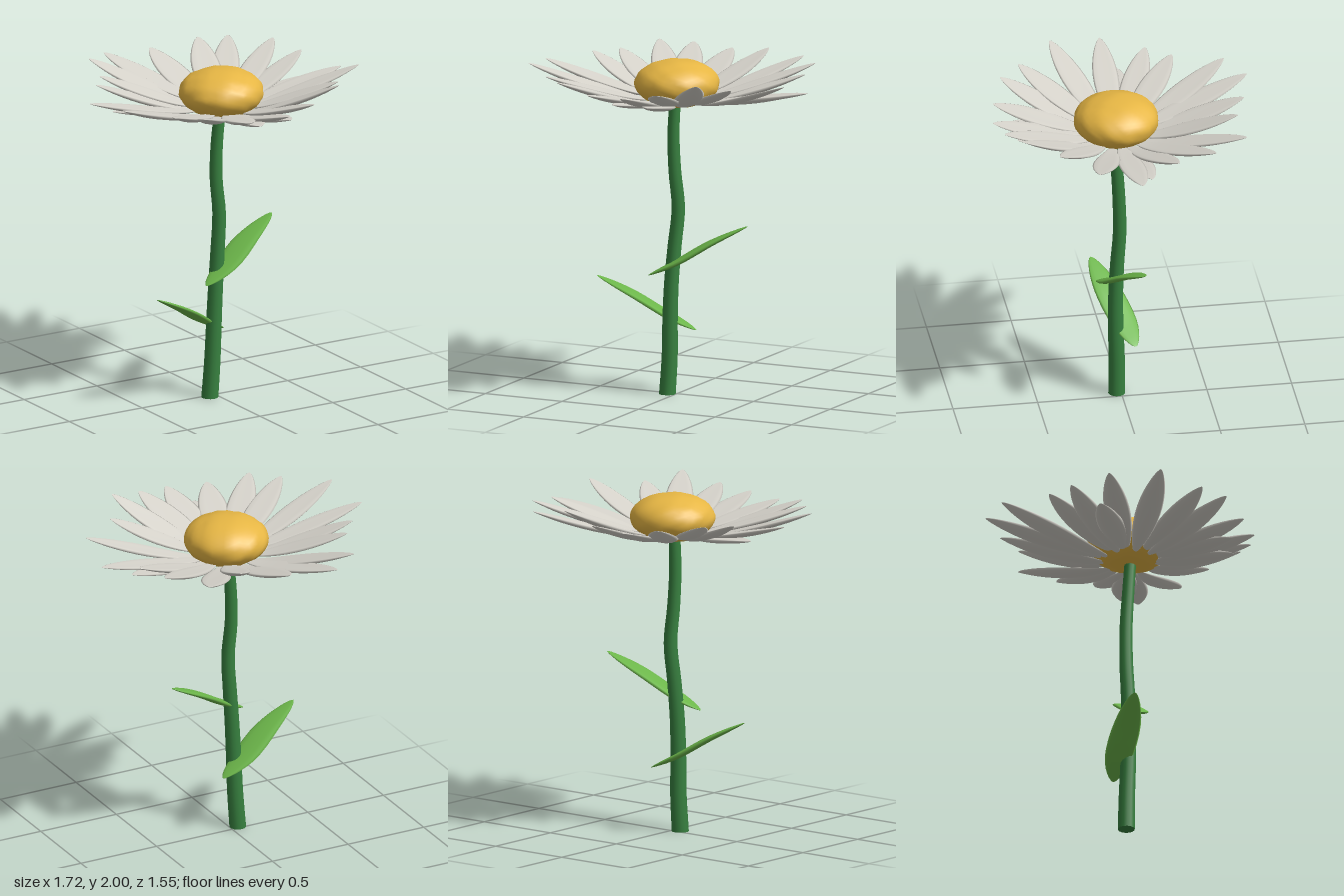
import * as THREE from 'three';
import { mergeVertices } from 'three/addons/utils/BufferGeometryUtils.js';

const flat = (name, color) => {
  const m = new THREE.MeshStandardMaterial({ color });
  m.name = name;
  return m;
};

// Closed, lens-shaped blade swept along a curve, tapering to both ends
function blade(curve, halfWidth, halfThick, cup, profile, steps = 18, sides = 12) {
  const pos = [], index = [];
  const up = new THREE.Vector3(0, 1, 0);
  for (let i = 0; i <= steps; i++) {
    const t = (1 - Math.cos(Math.PI * i / steps)) / 2;
    const p = curve.getPoint(t), T = curve.getTangent(t);
    const W = new THREE.Vector3().crossVectors(up, T).normalize();
    const N = new THREE.Vector3().crossVectors(T, W);
    const s = Math.max(profile(t), 0.002);
    for (let j = 0; j < sides; j++) {
      const a = j / sides * Math.PI * 2, c = Math.cos(a);
      const v = p.clone().addScaledVector(W, c * halfWidth * s)
        .addScaledVector(N, (Math.sin(a) * halfThick + c * c * cup) * s);
      pos.push(v.x, v.y, v.z);
      if (i < steps) {
        const k = (j + 1) % sides, r = i * sides, q = r + sides;
        index.push(r + j, r + k, q + j, r + k, q + k, q + j);
      }
    }
  }
  const g = new THREE.BufferGeometry();
  g.setAttribute('position', new THREE.Float32BufferAttribute(pos, 3));
  g.setIndex(index);
  g.computeVertexNormals();
  return g;
}

export function createModel() {
  const model = new THREE.Group();
  model.name = 'daisy';
  const white = flat('petal white', 0xd6d3cb);
  const yellow = flat('centre yellow', 0xe6b644);
  const green = flat('stem green', 0x37803f);
  const lime = flat('leaf green', 0x6cb64a);
  const add = (name, geo, mat, parent = model) => {
    const m = new THREE.Mesh(geo, mat);
    m.name = name;
    parent.add(m);
    return m;
  };

  // Gently wavering stem
  const H = 1.78;
  const xs = [-0.05, -0.034, -0.028, -0.018, 0, 0.018, -0.004, -0.006, 0.012];
  const zs = [0.025, 0.027, 0.034, 0.036, 0.03, 0.018, 0.02, 0.033, 0.045];
  const path = new THREE.CatmullRomCurve3(xs.map((x, i) => new THREE.Vector3(x, i / 8 * H, zs[i])));
  const stem = new THREE.CylinderGeometry(0.034, 0.05, H, 14, 32);
  const sp = stem.attributes.position;
  for (let i = 0; i < sp.count; i++) {
    const y = sp.getY(i) + H / 2;
    const c = path.getPoint(y / H);
    sp.setXYZ(i, sp.getX(i) + c.x, y, sp.getZ(i) + c.z);
  }
  add('stem', stem, green);

  // Slightly lumpy flower centre
  let disc = new THREE.IcosahedronGeometry(1, 7);
  disc.deleteAttribute('normal');
  disc.deleteAttribute('uv');
  disc = mergeVertices(disc, 1e-4);
  const dp = disc.attributes.position;
  for (let i = 0; i < dp.count; i++) {
    const x = dp.getX(i), y = dp.getY(i), z = dp.getZ(i);
    const k = 0.985 + 0.016 * Math.sin(9 * x + 4 * y) * Math.sin(8 * z - 5 * y + 1) + 0.006 * Math.sin(17 * x + 15 * z);
    dp.setXYZ(i, x * k, y * k, z * k);
  }
  disc.scale(0.252, 0.142, 0.252);
  disc.computeVertexNormals();
  add('flowerCentre', disc, yellow).position.set(0.02, 1.86, 0.04);

  // Petals: tip x, y, z
  const tips = [
    [0, 1.93, -0.72], [0.28, 1.97, -0.64], [0.5, 1.94, -0.66], [0.68, 1.95, -0.45],
    [0.73, 1.93, -0.22], [0.86, 1.87, 0.01], [0.83, 1.95, 0.26], [0.57, 1.94, 0.45],
    [0.45, 1.99, 0.65], [0.23, 1.93, 0.73], [0.03, 1.9, 0.77], [-0.22, 1.89, 0.73],
    [-0.46, 1.93, 0.65], [-0.6, 1.93, 0.52], [-0.82, 1.95, 0.3], [-0.86, 1.92, 0],
    [-0.67, 1.94, -0.24], [-0.56, 1.94, -0.38], [-0.45, 1.95, -0.67], [-0.28, 1.93, -0.78],
    [0.7, 1.82, -0.07], [-0.66, 1.82, -0.07], [0.13, 1.83, 0.64], [-0.09, 1.83, 0.65],
  ];
  const petals = new THREE.Group();
  petals.name = 'petals';
  model.add(petals);
  const petalShape = t => Math.pow(Math.sin(Math.PI * Math.pow(t, 1.15)), 0.68);
  tips.forEach(([x, y, z], i) => {
    const cx = 0.02, cz = 0.04, base = 1.75 + (i % 2) * 0.012;
    const d = Math.hypot(x - cx, z - cz), r0 = 0.12 / d;
    const pts = [0, 0.2, 0.4, 0.6, 0.8, 1].map(t => {
      const k = r0 + (1 - r0) * t;
      return new THREE.Vector3(cx + (x - cx) * k, base + (y - base) * Math.pow(t, 1.45), cz + (z - cz) * k);
    });
    const half = 0.094 - 0.022 * Math.abs(x);
    add('petal', blade(new THREE.CatmullRomCurve3(pts), half, 0.016, 0.012, petalShape), white, petals);
  });

  // Two matching leaves, the lower one turned half round the stem
  const leafCurve = new THREE.CatmullRomCurve3([
    new THREE.Vector3(-0.13, 0.715, 0.115), new THREE.Vector3(0.03, 0.795, 0.07),
    new THREE.Vector3(0.22, 0.915, 0), new THREE.Vector3(0.43, 1.025, -0.065),
  ]);
  const leafShape = t => Math.pow(Math.sin(Math.PI * t), 0.6);
  const leafGeo = blade(leafCurve, 0.088, 0.018, 0.004, leafShape);
  add('upperLeaf', leafGeo, lime);
  const lower = add('lowerLeaf', leafGeo, lime);
  lower.rotation.y = Math.PI;
  lower.position.set(-0.035, -0.34, 0.05);

  return model;
}
